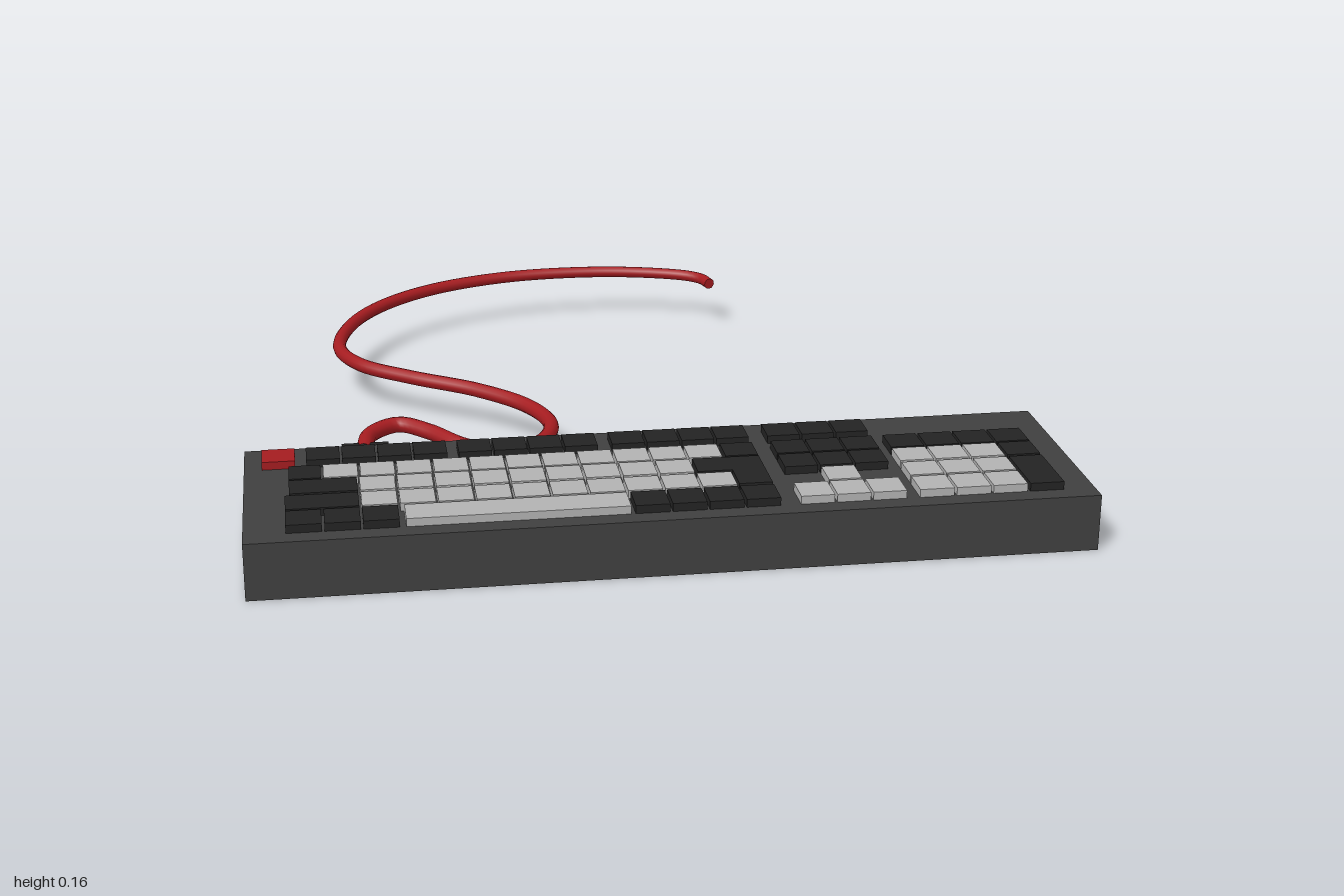
import * as THREE from 'three';

const paint = (color) => new THREE.MeshStandardMaterial({ color });
const CASE_TOP = 0.14, KEY_TOP = 0.16, GAP = 0.006;

export function createModel() {
  const model = new THREE.Group();
  const caseGrey = paint(0x404040), dark = paint(0x232323);
  const light = paint(0xb2b2b2), red = paint(0xa51c20);

  // Box given by its limits on each axis
  function box(name, [x0, x1], [y0, y1], [z0, z1], material, parent = model) {
    const mesh = new THREE.Mesh(new THREE.BoxGeometry(x1 - x0, y1 - y0, z1 - z0), material);
    mesh.position.set((x0 + x1) / 2, (y0 + y1) / 2, (z0 + z1) / 2);
    mesh.name = name;
    parent.add(mesh);
  }

  box('case', [-1, 1], [0, CASE_TOP], [0.41, 0.98], caseGrey);
  box('cablePlug', [-0.76, -0.643], [0.067, 0.112], [0.32, 0.415], dark);

  // Key rows, back to front: function keys, then four typing rows
  const rows = [[0.457, 0.54], [0.574, 0.657], [0.664, 0.747], [0.757, 0.84], [0.848, 0.932]];

  // Block of equal keys side by side between x0 and x1
  function keys(name, row, count, x0, x1, material, lastRow = row) {
    const group = new THREE.Group();
    group.name = name;
    const pitch = (x1 - x0 + GAP) / count;
    for (let i = 0; i < count; i++) {
      const x = x0 + i * pitch;
      box('key', [x, x + pitch - GAP], [CASE_TOP - 0.005, KEY_TOP],
        [rows[row][0], rows[lastRow][1]], material, group);
    }
    model.add(group);
  }

  // Function row
  keys('escapeKey', 0, 1, -0.957, -0.877, red);
  for (const x of [-0.85, -0.48, -0.102]) keys('functionKeys', 0, 4, x, x + 0.342, dark);

  // Typing block
  keys('cornerKey', 1, 1, -0.893, -0.817, dark);
  keys('numberKeys', 1, 11, -0.811, 0.152, light);
  keys('backspaceKey', 1, 1, 0.16, 0.24, dark);
  keys('tabKey', 2, 1, -0.893, -0.733, dark);
  keys('upperLetterKeys', 2, 9, -0.727, 0.068, light);
  keys('shiftKey', 3, 1, -0.903, -0.733, dark);
  keys('lowerLetterKeys', 3, 10, -0.727, 0.154, light);
  keys('leftModifierKeys', 4, 3, -0.903, -0.645, dark);
  keys('spaceBar', 4, 1, -0.63, -0.112, light);
  keys('rightModifierKeys', 4, 4, -0.102, 0.24, dark);

  // L-shaped enter key over two rows
  const outline = [[0.076, 0.664], [0.24, 0.664], [0.24, 0.835], [0.16, 0.835], [0.16, 0.747], [0.076, 0.747]];
  const enter = new THREE.Mesh(new THREE.ExtrudeGeometry(
    new THREE.Shape(outline.map(([x, z]) => new THREE.Vector2(x, -z))),
    { depth: KEY_TOP - CASE_TOP, bevelEnabled: false }), dark);
  enter.rotation.x = -Math.PI / 2;
  enter.position.y = CASE_TOP;
  enter.name = 'enterKey';
  model.add(enter);

  // Navigation block and arrows
  for (const row of [0, 1, 2]) keys('navigationKeys', row, 3, 0.288, 0.543, dark);
  keys('upArrowKey', 3, 1, 0.375, 0.455, light);
  keys('lowerArrowKeys', 4, 3, 0.288, 0.541, light);

  // Number pad
  keys('padTopKeys', 1, 4, 0.573, 0.923, dark);
  for (const row of [2, 3, 4]) keys('padNumberKeys', row, 3, 0.573, 0.834, light);
  keys('padPlusKey', 2, 1, 0.841, 0.923, dark);
  keys('padEnterKey', 3, 1, 0.841, 0.923, dark, 4);

  // Curling cable, rising and thinning gently towards its free end
  const path = [
    [-0.705, 0.34], [-0.684, 0.233], [-0.61, 0.176], [-0.535, 0.233], [-0.45, 0.34], [-0.353, 0.392],
    [-0.262, 0.345], [-0.219, 0.233], [-0.262, 0.10], [-0.385, -0.035], [-0.556, -0.152],
    [-0.69, -0.265], [-0.743, -0.398], [-0.706, -0.585], [-0.61, -0.74], [-0.45, -0.869],
    [-0.235, -0.949], [-0.02, -0.969], [0.166, -0.949], [0.326, -0.896], [0.369, -0.858], [0.385, -0.81],
  ];
  const curve = new THREE.CatmullRomCurve3(
    path.map(([x, z]) => new THREE.Vector3(x, 0.107 - 0.03 * z, z)));
  const STEPS = 160, SIDES = 12, START = 0.021, END = 0.016;
  const tube = new THREE.TubeGeometry(curve, STEPS, START, SIDES);
  const pos = tube.attributes.position, v = new THREE.Vector3();
  for (let i = 0; i <= STEPS; i++) {
    const centre = curve.getPointAt(i / STEPS);
    const scale = 1 + (END / START - 1) * i / STEPS;
    for (let j = 0; j <= SIDES; j++) {
      const k = i * (SIDES + 1) + j;
      v.fromBufferAttribute(pos, k).sub(centre).multiplyScalar(scale).add(centre);
      pos.setXYZ(k, v.x, v.y, v.z);
    }
  }
  const cable = new THREE.Mesh(tube, red);
  cable.name = 'cable';
  model.add(cable);

  // Flat cap on the free end
  const cap = new THREE.Mesh(new THREE.CircleGeometry(END, SIDES), red);
  cap.position.copy(curve.getPointAt(1));
  cap.lookAt(cap.position.clone().add(curve.getTangentAt(1)));
  cap.name = 'cableEnd';
  model.add(cap);

  return model;
}
